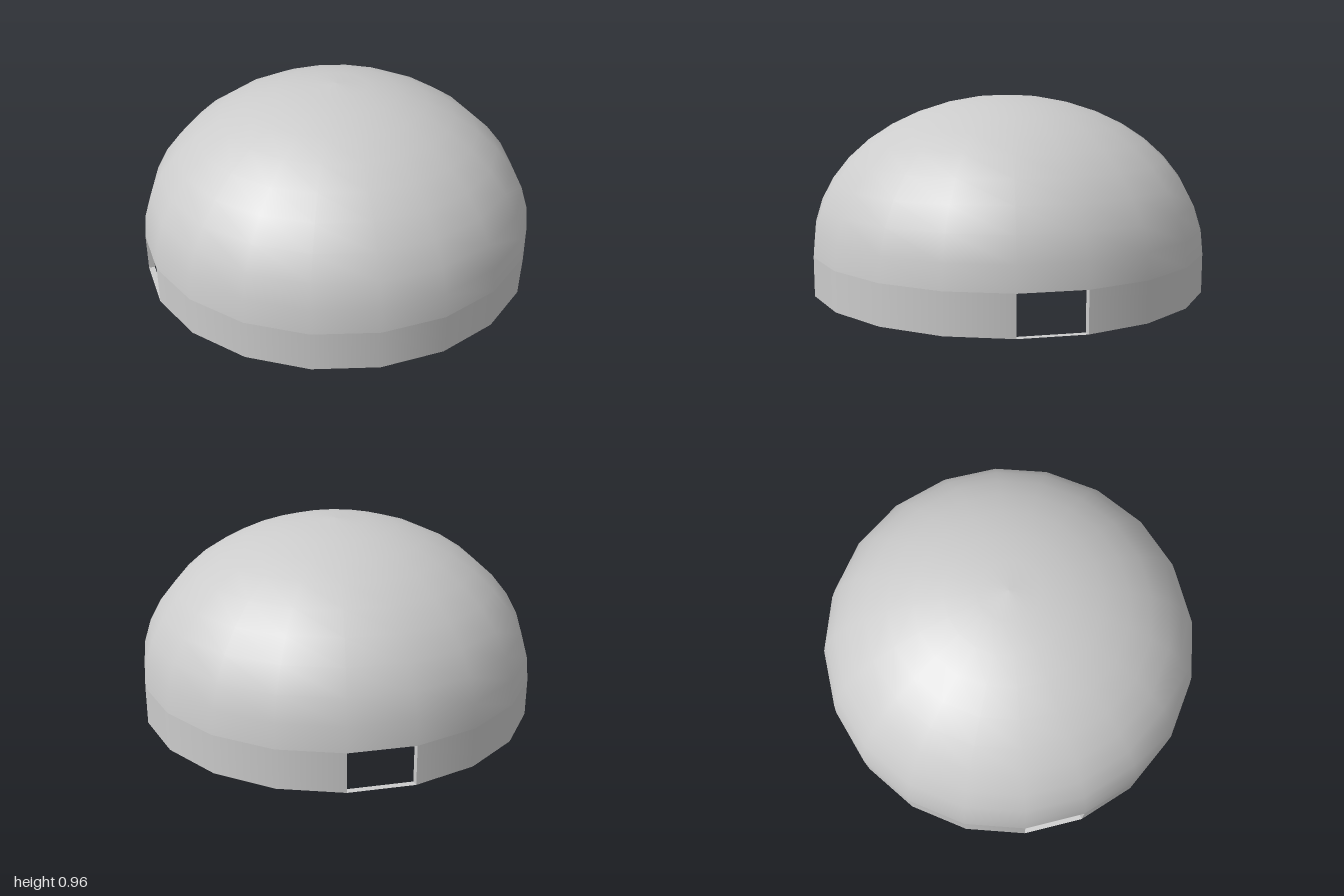
import * as THREE from 'three';

const SIDES = 20, STEP = Math.PI * 2 / SIDES;
const OUTER = 1, INNER = 0.97, WALL_H = 0.195, RISE = 0.766;
const OPENINGS = [2, 7, 13]; // panel numbers left open, counted from +z towards +x

export function createModel() {
  const model = new THREE.Group();
  const solid = new THREE.MeshStandardMaterial({ color: 0xcccccc });
  const thin = new THREE.MeshStandardMaterial({ color: 0xcccccc, side: THREE.DoubleSide });

  // Turned strip covering a run of panels
  const turned = (name, points, parent = model, first = 0, count = SIDES, material = solid) => {
    const profile = points.map(([r, y]) => new THREE.Vector2(r, y));
    const mesh = new THREE.Mesh(
      new THREE.LatheGeometry(profile, count, first * STEP, count * STEP), material);
    mesh.name = name;
    parent.add(mesh);
  };

  // Flattened dome shells, outside and inside
  const arc = (radius) => Array.from({ length: 11 }, (_, i) => {
    const a = i / 10 * Math.PI / 2;
    return [i === 10 ? 0 : radius * Math.cos(a), WALL_H + RISE * radius * Math.sin(a)];
  });
  turned('domeOutside', arc(OUTER));
  turned('domeInside', arc(INNER).reverse());
  turned('domeUnderside', [[INNER, WALL_H], [OUTER, WALL_H]]);

  // Flat bottom rim, running on under the openings
  turned('bottomRim', [[INNER, 0], [OUTER, 0]], model, 0, SIDES, thin);

  // Wall sections between the openings
  OPENINGS.forEach((opening, i) => {
    const first = opening + 1;
    const next = OPENINGS[i + 1] ?? OPENINGS[0] + SIDES;
    const section = new THREE.Group();
    section.name = 'wallSection';
    turned('wallOutside', [[OUTER, 0], [OUTER, WALL_H]], section, first, next - first);
    turned('wallInside', [[INNER, WALL_H], [INNER, 0]], section, first, next - first);

    // Radial jambs closing both ends
    for (const panel of [first, next]) {
      const geometry = new THREE.PlaneGeometry(OUTER - INNER, WALL_H);
      geometry.translate((OUTER + INNER) / 2, WALL_H / 2, 0);
      geometry.rotateY(panel * STEP - Math.PI / 2);
      const jamb = new THREE.Mesh(geometry, thin);
      jamb.name = 'openingJamb';
      section.add(jamb);
    }
    model.add(section);
  });

  return model;
}
